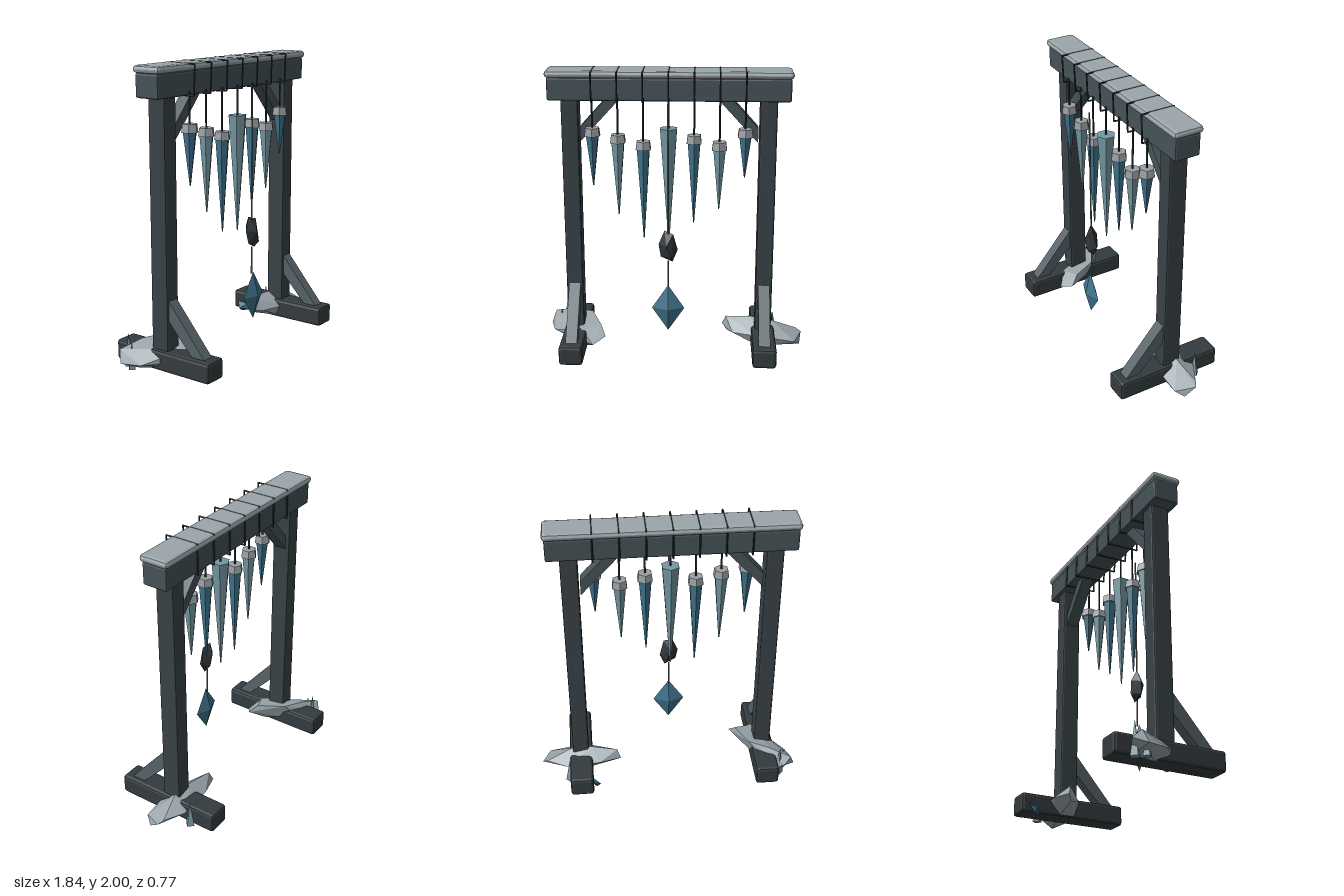
import * as THREE from 'three';
import { RoundedBoxGeometry } from 'three/addons/geometries/RoundedBoxGeometry.js';
import { ConvexGeometry } from 'three/addons/geometries/ConvexGeometry.js';

const mat = (color) => new THREE.MeshStandardMaterial({ color, flatShading: true });

export function createModel() {
  const root = new THREE.Group();
  const timber = mat(0x394246), beamWood = mat(0x465358), braceWood = mat(0x566368);
  const footWood = mat(0x343b3e), snow = mat(0x9aa5ab), stone = mat(0x9aa0a3);
  const rope = mat(0x2a3135), paleRope = mat(0x6f7472), darkRock = mat(0x2d3337);
  const deepIce = mat(0x3f738c), paleIce = mat(0x7497a3);
  const midX = -0.035, midZ = -0.025;

  const add = (name, geometry, material, x = 0, y = 0, z = 0) => {
    const m = new THREE.Mesh(geometry, material);
    m.name = name;
    m.position.set(x, y, z);
    root.add(m);
    return m;
  };
  // box with chamfered edges
  const timberBox = (name, w, h, d, bevel, material, x, y, z) =>
    add(name, new RoundedBoxGeometry(w, h, d, 1, bevel), material, x, y, z);
  // flat polygon given thickness, centred on its own plane
  const slab = (pts, depth) => new THREE.ExtrudeGeometry(
    new THREE.Shape(pts.map((p) => new THREE.Vector2(...p))),
    { depth, bevelEnabled: false }).translate(0, 0, -depth / 2);
  // thin straight strand between two points
  const strand = (name, a, b, r, material) => {
    const from = new THREE.Vector3(...a), dir = new THREE.Vector3(...b).sub(from);
    const m = add(name, new THREE.CylinderGeometry(r, r, dir.length(), 5), material);
    m.position.copy(from).addScaledVector(dir, 0.5);
    m.quaternion.setFromUnitVectors(new THREE.Vector3(0, 1, 0), dir.normalize());
  };
  const hull = (name, pts, material) =>
    add(name, new ConvexGeometry(pts.map((p) => new THREE.Vector3(...p))), material);

  // beam and its snow-coloured cap
  timberBox('beam', 1.625, 0.155, 0.18, 0.012, beamWood, midX, 1.875, midZ);
  timberBox('beamCap', 1.65, 0.05, 0.21, 0.022, snow, midX, 1.975, midZ);

  // posts, feet and braces on both sides
  for (const s of [-1, 1]) {
    const x = midX + s * 0.667;
    timberBox('post', 0.116, 1.72, 0.132, 0.012, timber, x, 0.96, midZ);
    timberBox('foot', 0.164, 0.14, 0.775, 0.02, footWood, x, 0.08, 0.002);

    const foot = slab([[0.03, 0.36], [0.235, 0.14], [0.335, 0.14], [0.03, 0.5]], 0.08);
    add('footBrace', foot.rotateY(-Math.PI / 2), braceWood, x);

    const outline = [[0.6, 1.51], [0.6, 1.61], [0.42, 1.81], [0.325, 1.81]];
    const upper = outline.map(([px, py]) => [s * px, py]);
    add('upperBrace', slab(s > 0 ? upper : upper.reverse(), 0.085), beamWood, midX, 0, midZ);
  }

  // hanging icicles: [collar top, tip, pale?, has collar]
  const icicles = [
    [1.62, 1.22, false, true], [1.575, 1.015, true, true], [1.53, 0.845, false, true],
    [1.62, 0.82, true, false], [1.575, 0.96, false, true], [1.53, 1.06, true, true],
    [1.62, 1.285, false, true],
  ];
  icicles.forEach(([top, tip, pale, collar], i) => {
    const x = midX + (i - 3) * 0.1705, z = 0.07;
    const iceTop = collar ? top - 0.02 : top, h = iceTop - tip;
    add('icicle', new THREE.CylinderGeometry(collar ? 0.051 : 0.065, 0.004, h, 6),
      pale ? paleIce : deepIce, x, tip + h / 2, z);
    if (collar) add('icicleCollar', new THREE.CylinderGeometry(0.05, 0.058, 0.055, 6), stone, x, top - 0.0275, z);
    strand('icicleRope', [x, top - 0.02, z], [x, 1.82, z], 0.007, rope);
    // rope loop around the beam
    const loop = [[2, 0.115], [2, -0.12], [1.79, -0.125], [1.8, 0.108]];
    loop.forEach(([y, lz], k) => {
      const [ny, nz] = loop[(k + 1) % loop.length];
      strand('beamLoop', [x, Math.min(y, 1.996), lz], [x, Math.min(ny, 1.996), nz], 0.006, rope);
    });
  });

  // pendant: rope, dark rock and crystal
  strand('pendantRope', [midX, 0.9, 0.192], [midX, 1.81, 0.192], 0.006, paleRope);
  strand('pendantLowerRope', [midX, 0.53, 0.192], [midX, 0.72, 0.192], 0.006, paleRope);
  hull('pendantRock', [
    [-0.06, 0.935, 0.18], [0.0, 0.915, 0.2], [0.03, 0.8, 0.185], [-0.005, 0.715, 0.19],
    [-0.085, 0.755, 0.2], [-0.1, 0.84, 0.19], [-0.045, 0.84, 0.24], [-0.01, 0.76, 0.235],
    [-0.04, 0.86, 0.145], [-0.02, 0.77, 0.15],
  ], darkRock);
  add('pendantCrystal', new THREE.OctahedronGeometry(1).scale(0.112, 0.168, 0.042),
    deepIce, midX, 0.378, 0.205);

  // snow-covered rocks around the feet
  hull('rightRock', [
    [-0.92, 0.055, -0.23], [-0.89, 0.14, -0.26], [-0.84, 0.1, -0.3], [-0.74, 0.185, -0.2],
    [-0.6, 0.195, -0.13], [-0.52, 0.175, 0.06], [-0.485, 0.11, 0.12], [-0.57, 0.07, 0.18],
    [-0.65, 0.15, 0.11], [-0.88, 0.06, -0.09], [-0.81, 0.01, -0.15], [-0.62, 0.01, 0.06],
    [-0.75, 0.02, -0.26],
  ], snow);
  hull('leftRock', [
    [0.345, 0.115, -0.13], [0.37, 0.18, -0.11], [0.55, 0.195, -0.08], [0.7, 0.175, -0.06],
    [0.5, 0.12, -0.175], [0.74, 0.1, -0.175], [0.88, 0.1, -0.1], [0.915, 0.08, -0.08],
    [0.9, 0.02, 0.0], [0.86, 0.06, 0.055], [0.6, 0.1, 0.06], [0.42, 0.09, -0.02],
    [0.38, 0.075, -0.1], [0.6, 0.01, -0.1], [0.6, 0.01, 0.02],
  ], snow);

  // ice shards on the ground: [x, z, height, radius, pale?]
  for (const [x, z, h, r, pale] of [
    [-0.805, -0.26, 0.23, 0.035, true], [-0.84, -0.2, 0.18, 0.03, true],
    [0.715, -0.2, 0.18, 0.035, true],
  ]) add('iceShard', new THREE.ConeGeometry(r, h, 4), pale ? paleIce : deepIce, x, h / 2, z);
  hull('fallenShard', [
    [0.5, 0.03, -0.3], [0.54, 0.07, -0.34], [0.56, 0.06, -0.26], [0.53, 0.005, -0.3],
    [0.58, 0.01, -0.24],
  ], deepIce);

  return root;
}
